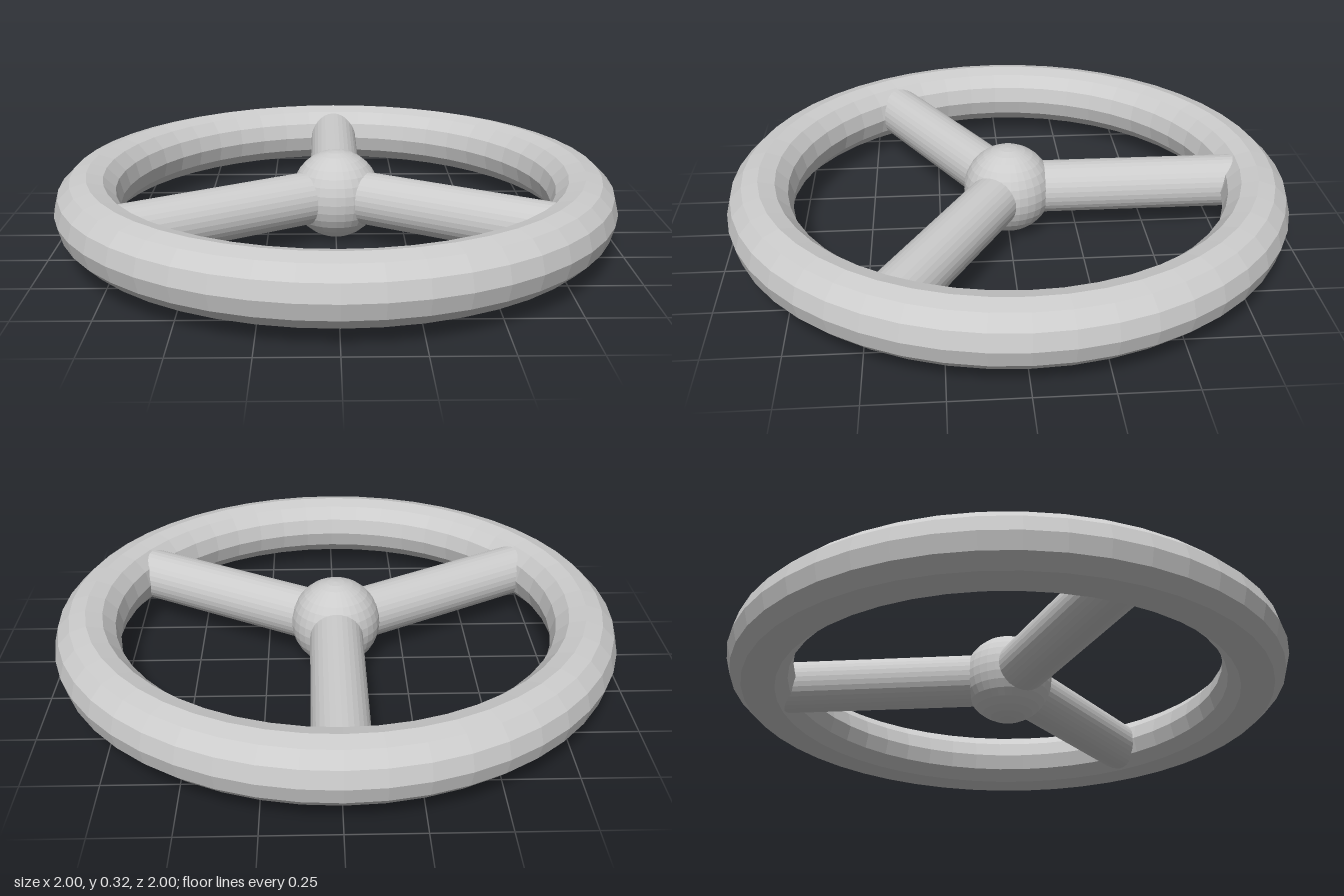
import * as THREE from 'three';

const HUB_RADIUS = 0.16;
const RIM_RADIUS = 0.885;
const TUBE_RADIUS = 0.115;
const SPOKE_RADIUS = 0.094;

export function createModel() {
  const model = new THREE.Group();
  model.name = 'handwheel';
  const material = new THREE.MeshStandardMaterial({ color: 0xcccccc, flatShading: true });

  const add = (name, geometry) => {
    const mesh = new THREE.Mesh(geometry, material);
    mesh.name = name;
    mesh.position.y = HUB_RADIUS + 0.002;
    model.add(mesh);
    return mesh;
  };

  // Twelve-sided ring lying flat
  add('rim', new THREE.TorusGeometry(RIM_RADIUS, TUBE_RADIUS, 12, 48).rotateX(-Math.PI / 2));

  // Ball at the centre
  add('hub', new THREE.SphereGeometry(HUB_RADIUS, 32, 16));

  // Three round spokes from the hub into the rim, the first pointing back
  const spokeGeometry = new THREE.CylinderGeometry(SPOKE_RADIUS, SPOKE_RADIUS, RIM_RADIUS, 32)
    .rotateX(-Math.PI / 2)
    .translate(0, 0, -RIM_RADIUS / 2);
  ['backSpoke', 'rightSpoke', 'leftSpoke'].forEach((name, i) => {
    add(name, spokeGeometry).rotation.y = (i * Math.PI * 2) / 3;
  });

  return model;
}
